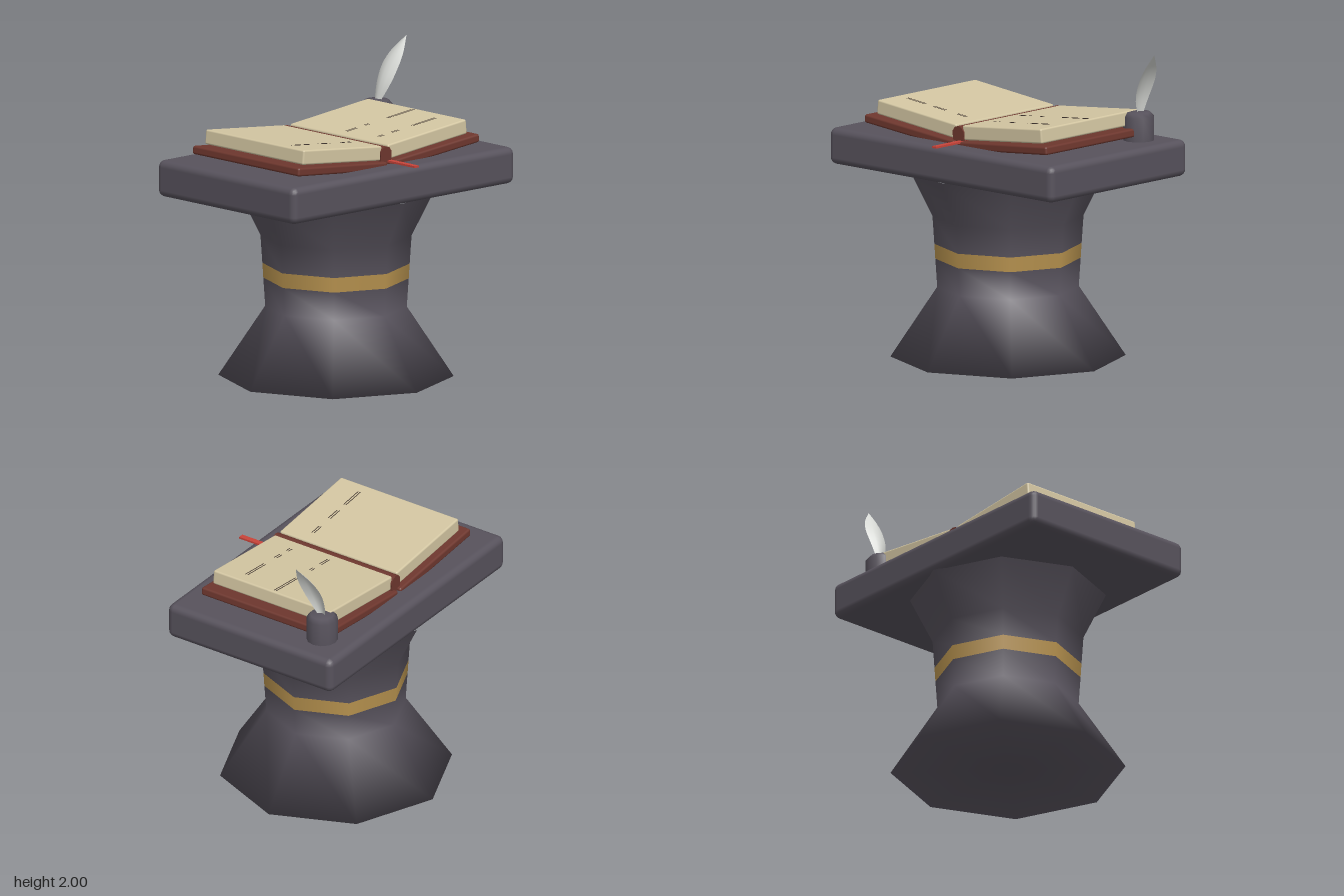
import * as THREE from 'three';
import { RoundedBoxGeometry } from 'three/addons/geometries/RoundedBoxGeometry.js';

const material = (name, color, side = THREE.FrontSide) => {
  const m = new THREE.MeshStandardMaterial({ color, side });
  m.name = name;
  return m;
};

export function createModel() {
  const stone = material('dark stone', 0x57525c);
  const gold = material('gold band', 0xb8934f);
  const leather = material('brown leather', 0x6e372e);
  const paper = material('parchment', 0xd3c6a2);
  const red = material('red ribbon', 0xc8443a);
  const ink = material('ink', 0x40352f);
  const white = material('feather grey', 0xd6d8d4, THREE.DoubleSide);

  const model = new THREE.Group();
  model.name = 'bookPedestal';
  const add = (name, geometry, mat, x = 0, y = 0, z = 0, parent = model) => {
    const mesh = new THREE.Mesh(geometry, mat);
    mesh.name = name;
    mesh.position.set(x, y, z);
    parent.add(mesh);
    return mesh;
  };
  const profile = (points) => points.map(([r, y]) => new THREE.Vector2(r, y));

  // Eight-sided waisted column, the band being one ring of its faces
  const rings = [[0, 0], [0.74, 0], [0.445, 0.445], [0.457, 0.625], [0.463, 0.72], [0.475, 0.9], [0.62, 1.195]];
  const column = new THREE.LatheGeometry(profile(rings), 8);
  // The ring touching the axis is stored as full quads, like the others
  const perColumn = rings.length - 1;
  for (let i = 0; i < 8 * perColumn; i++) {
    column.addGroup(i * 6, 6, i % perColumn === 3 ? 1 : 0);
  }
  add('column', column, [stone, gold]);

  // Table slab
  add('slab', new RoundedBoxGeometry(1.92, 0.235, 1.26, 2, 0.045), stone, 0, 1.3075, 0);

  // Open book: two covers and two page blocks sloping to the spine
  const book = new THREE.Group();
  book.name = 'book';
  model.add(book);
  for (const [side, s] of [['left', 1], ['right', -1]]) {
    const cover = add(side + 'Cover', new RoundedBoxGeometry(0.772, 0.054, 0.975, 2, 0.014), leather,
      s * 0.398, 1.451, 0, book);
    cover.rotation.z = s * 0.09;
    const pages = add(side + 'Pages', new RoundedBoxGeometry(0.68, 0.094, 0.9, 2, 0.012), paper,
      s * 0.368, 1.53, 0, book);
    pages.rotation.z = s * 0.1;

    // Short ink strokes in pairs: start x, end x, z
    const strokes = s > 0
      ? [[0.1, 0.19, -0.01], [0.265, 0.3, -0.01], [0.455, 0.69, -0.01],
        [0.13, 0.17, 0.257], [0.24, 0.3, 0.257], [0.42, 0.62, 0.257]]
      : [[-0.63, -0.47, 0.257], [-0.4, -0.3, 0.257], [-0.2, -0.12, 0.257]];
    for (const [a, b, z] of strokes) {
      for (const dz of [-0.008, 0.008]) {
        add('inkStroke', new THREE.BoxGeometry(b - a, 0.002, 0.005), ink,
          (a + b) / 2 - s * 0.368, 0.0472, z + dz, pages);
      }
    }
  }
  const spine = add('spine', new THREE.CylinderGeometry(0.048, 0.048, 0.92, 10), leather, 0, 1.49, 0, book);
  spine.rotation.x = Math.PI / 2;
  add('spineBase', new THREE.BoxGeometry(0.09, 0.07, 0.92), leather, 0, 1.455, 0, book);
  add('bookmark', new THREE.BoxGeometry(0.036, 0.012, 0.4), red, 0.028, 1.441, 0.51, book);

  // Ink pot
  const pot = [[0.1, 0], [0.1, 0.155], [0.075, 0.183], [0, 0.188]];
  add('inkPot', new THREE.LatheGeometry(profile(pot), 12), stone, 0.74, 1.42, -0.41);

  // Quill: cupped leaf-shaped vane leaning outward
  const spineCurve = new THREE.CatmullRomCurve3([
    [0.735, 1.56, -0.42], [0.765, 1.7, -0.397], [0.81, 1.81, -0.386], [0.862, 1.9, -0.37], [0.935, 2, -0.345],
  ].map((p) => new THREE.Vector3(...p)));
  const widths = new THREE.CatmullRomCurve3([0.015, 0.06, 0.073, 0.055, 0]
    .map((w, i) => new THREE.Vector3(w, i, 0)));
  const rows = 14, cols = 4;
  const vane = new THREE.PlaneGeometry(1, 1, cols, rows);
  for (let j = 0; j <= rows; j++) {
    const p = spineCurve.getPoint(j / rows);
    const w = Math.max(0, widths.getPoint(j / rows).x);
    for (let i = 0; i <= cols; i++) {
      const u = (i / cols) * 2 - 1;
      vane.attributes.position.setXYZ(j * (cols + 1) + i, p.x + w * (0.45 * u * u - 0.15), p.y, p.z + w * u);
    }
  }
  vane.computeVertexNormals();
  add('quill', vane, white);

  return model;
}
